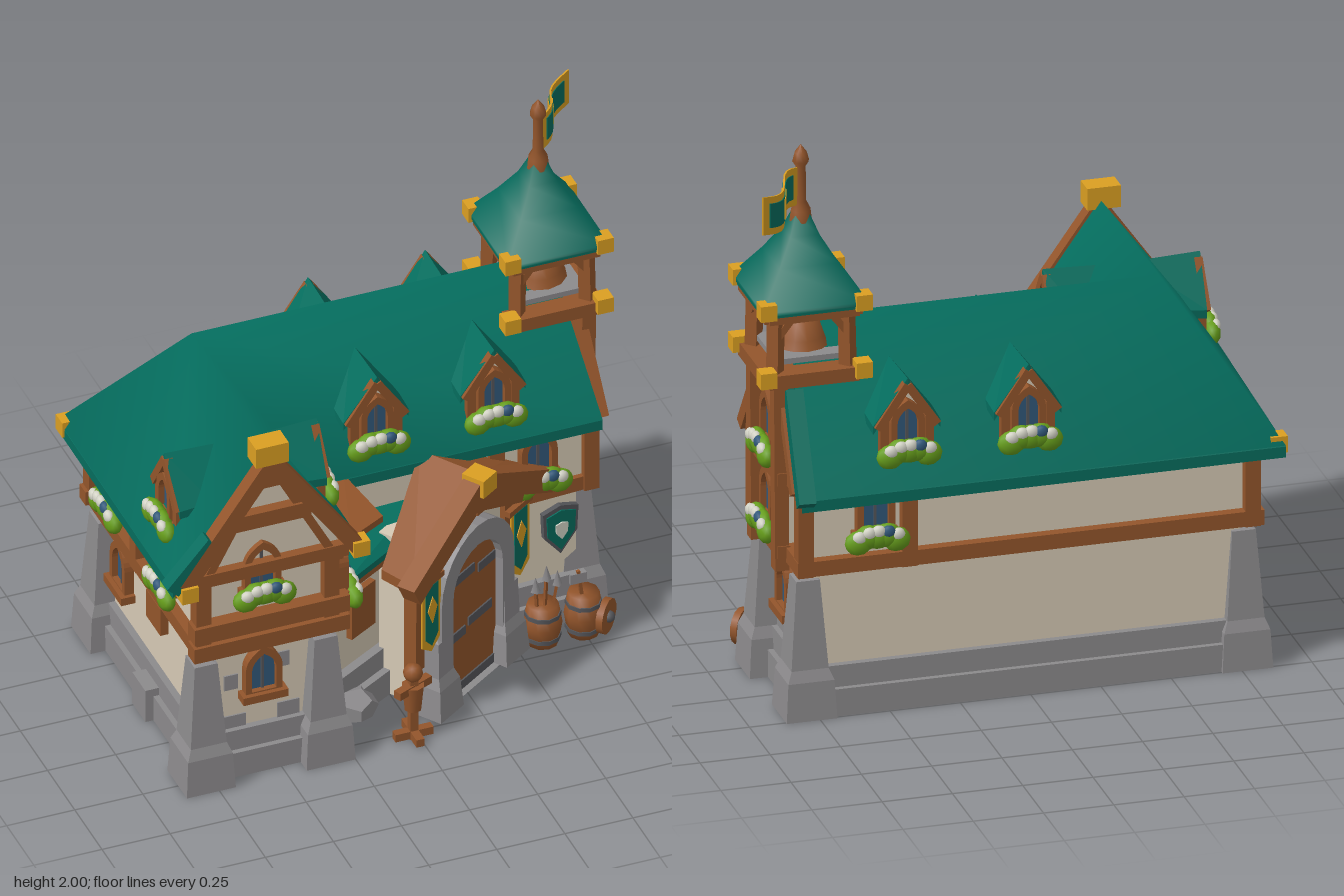
import * as THREE from 'three';

const paint = (name, color) => Object.assign(new THREE.MeshStandardMaterial({ color }), { name });
const teal = paint('teal shingles', 0x056d5e), wood = paint('wood', 0x93552b), plaster = paint('plaster', 0xd6cab5),
  stone = paint('stone', 0x8c8a8c), gold = paint('gold', 0xdb9f22), green = paint('leaves', 0x68a01c),
  glass = paint('glass', 0x31587a), iron = paint('dark iron', 0x55565a), white = paint('petals', 0xd3d3c6);

const V = (p) => new THREE.Vector3(...p);
const box = (w, h, d) => new THREE.BoxGeometry(w, h, d);
const faceted = (g) => { const f = g.index ? g.toNonIndexed() : g; f.computeVertexNormals(); return f; };

function part(parent, name, geo, mat, pos = [0, 0, 0], ry = 0) {
  const m = new THREE.Mesh(geo, mat);
  m.name = name;
  m.position.set(...pos);
  m.rotation.y = ry;
  parent.add(m);
  return m;
}
function subgroup(parent, name, pos, ry = 0) {
  const g = new THREE.Group();
  g.name = name;
  g.position.set(...pos);
  g.rotation.y = ry;
  parent.add(g);
  return g;
}
// straight timber between two points
function beam(parent, name, a, b, t = 0.05, mat = wood, w = t) {
  const m = new THREE.Mesh(box(w, t, V(a).distanceTo(V(b))), mat);
  m.name = name;
  m.position.copy(V(a).add(V(b)).multiplyScalar(0.5));
  m.lookAt(V(b));
  parent.add(m);
}
// roof panel: a polygon in space thickened downwards
function slab(parent, name, pts, t, mat) {
  let top = pts.map(V);
  const n = V(pts[1]).sub(top[0]).cross(V(pts[2]).sub(top[0]));
  if (n.y < 0) top = top.reverse();
  const low = top.map((p) => p.clone().setY(p.y - t)), out = [];
  const tri = (...q) => q.forEach((p) => out.push(p.x, p.y, p.z));
  top.forEach((p, i) => {
    const j = (i + 1) % top.length;
    if (i > 0 && j > 0) { tri(top[0], p, top[j]); tri(low[0], low[j], low[i]); }
    tri(p, low[i], low[j]); tri(p, low[j], top[j]);
  });
  const g = new THREE.BufferGeometry();
  g.setAttribute('position', new THREE.Float32BufferAttribute(out, 3));
  g.computeVertexNormals();
  return part(parent, name, g, mat);
}
const shapeOf = (pts) => new THREE.Shape(pts.map((p) => new THREE.Vector2(...p)));
const extrude = (s, depth) => new THREE.ExtrudeGeometry(s, { depth, bevelEnabled: false, curveSegments: 6 });
// storey: plan polygon of [x, z] raised from y0 to y1, grown outwards by k
function storey(parent, name, plan, y0, y1, mat, k = 0) {
  const s = shapeOf(plan.map(([x, z]) => [x + k * Math.sign(x + 0.5), -z - k * Math.sign(z)]));
  part(parent, name, extrude(s, y1 - y0).rotateX(-Math.PI / 2), mat, [0, y0, 0]);
}
const turned = (pts, n = 10) => new THREE.LatheGeometry(pts.map((p) => new THREE.Vector2(...p)), n);
const square = (pts) => turned(pts.map(([r, y]) => [r * Math.SQRT2, y]), 4).rotateY(Math.PI / 4);

function pointedArch(w, h, y = 0, S = THREE.Shape) {
  const s = new S();
  s.moveTo(-w / 2, y).lineTo(w / 2, y).lineTo(w / 2, y + h * 0.55);
  s.quadraticCurveTo(w / 2, y + h * 0.82, 0, y + h);
  s.quadraticCurveTo(-w / 2, y + h * 0.82, -w / 2, y + h * 0.55);
  return s;
}
function roundArch(w, h, S = THREE.Shape) {
  const s = new S();
  s.moveTo(-w / 2, 0).lineTo(w / 2, 0).lineTo(w / 2, h - w / 2);
  s.absarc(0, h - w / 2, w / 2, 0, Math.PI, false);
  return s;
}
function flowerBox(parent, pos) {
  const g = subgroup(parent, 'flowerBox', pos);
  const blob = (n, r, mat, x, y, z, sz) => part(g, n, new THREE.IcosahedronGeometry(r, 1), mat, [x, y, z]).scale.set(1.1, 1, sz);
  for (let i = -2; i <= 2; i++) {
    blob('leaves', 0.045, green, i * 0.034, -0.004 * i * i + (i % 2 ? 0.006 : 0), 0.015, 0.7);
    blob('petals', 0.024, i === 1 ? glass : white, i * 0.034, 0.024 - 0.004 * i * i, 0.03, 0.75);
  }
}
// arched window standing on its sill
function windowAt(parent, pos, ry, flowers = true, h = 0.2, w = 0.135) {
  const g = subgroup(parent, 'window', pos, ry);
  const f = pointedArch(w, h);
  f.holes.push(pointedArch(w - 0.045, h - 0.05, 0.02, THREE.Path));
  part(g, 'windowFrame', extrude(f, 0.035), wood);
  part(g, 'windowPane', extrude(pointedArch(w - 0.03, h - 0.03, 0.01), 0.008), glass, [0, 0, 0.006]);
  part(g, 'windowBar', box(0.01, h - 0.04, 0.008), iron, [0, h / 2, 0.016]);
  part(g, 'windowSill', box(w + 0.03, 0.03, 0.055), wood, [0, 0, 0.025]);
  if (flowers) flowerBox(g, [0, 0.0, 0.035]);
}
function dormer(parent, pos, ry) {
  const g = subgroup(parent, 'dormer', pos, ry);
  part(g, 'dormerBody', extrude(shapeOf([[-0.08, 0.03], [0.08, 0.03], [0.08, 0.2], [0, 0.32], [-0.08, 0.2]]), 0.2), plaster, [0, 0, -0.23]);
  for (const s of [-1, 1]) {
    slab(g, 'dormerRoof', [[0, 0.36, 0], [s * 0.12, 0.19, -0.01], [s * 0.12, 0.2, -0.13], [0, 0.35, -0.24]], 0.03, teal);
    beam(g, 'dormerBarge', [0, 0.335, -0.01], [s * 0.105, 0.18, -0.01], 0.03);
    beam(g, 'dormerPost', [s * 0.08, 0.05, -0.02], [s * 0.08, 0.21, -0.02], 0.03);
  }
  windowAt(g, [0, 0.1, -0.03], 0, true, 0.18, 0.12);
}
function shield(parent, pos, ry) {
  const g = subgroup(parent, 'shield', pos, ry);
  const form = (k) => shapeOf([[-0.07, 0.08], [0, 0.1], [0.07, 0.08], [0.065, -0.02], [0, -0.1], [-0.065, -0.02]].map(([x, y]) => [x * k, y * k]));
  part(g, 'shieldRim', extrude(form(1), 0.02), iron);
  part(g, 'shieldFace', extrude(form(0.82), 0.006), teal, [0, 0, 0.019]);
  part(g, 'shieldBoss', extrude(form(0.35), 0.006), white, [0, 0, 0.024]);
}
function barrel(parent, x, z, h) {
  const g = subgroup(parent, 'barrel', [x, 0, z]);
  part(g, 'staves', turned([[0, 0], [0.055, 0], [0.068, h / 2], [0.055, h], [0, h - 0.01]]), wood);
  for (const y of [0.03, h - 0.04]) part(g, 'hoop', new THREE.CylinderGeometry(0.064, 0.064, 0.016, 10), iron, [0, y, 0]);
  return g;
}

function buildWalls(root) {
  const plan = [[-0.76, -0.45], [-0.76, 0.48], [-0.32, 0.48], [-0.3, 0.37], [0.2, 0.08], [0.77, 0.05], [0.77, -0.45]];
  const upper = [...plan.slice(0, 3), [-0.29, 0.2], [-0.12, 0.1], ...plan.slice(4)];
  storey(root, 'stonePlinth', plan, 0, 0.1, stone, 0.045);
  storey(root, 'stoneBase', plan, 0.1, 0.18, stone, 0.025);
  storey(root, 'lowerWall', plan, 0.18, 0.58, plaster);
  storey(root, 'upperWall', upper, 0.58, 0.87, plaster, 0.02);
  for (const [x, z] of [[-0.78, 0.49], [-0.34, 0.49], [-0.77, -0.42], [0.78, -0.42], [0.79, -0.01]])
    part(root, 'buttress', faceted(square([[0, 0], [0.09, 0], [0.082, 0.14], [0.066, 0.18], [0.042, 0.5], [0, 0.51]])), stone, [x, 0, z]);
  // floor beams and corner posts
  for (const [y, t] of [[0.56, 0.055], [0.84, 0.05]]) {
    beam(root, 'backBeam', [-0.83, y, -0.48], [0.83, y, -0.48], t);
    beam(root, 'leftBeam', [-0.79, y, -0.5], [-0.79, y, 0.54], t);
    beam(root, 'rightBeam', [0.8, y, -0.5], [0.8, y, 0.08], t);
    beam(root, 'frontBeam', [0.4, y, 0.085], [0.82, y, 0.06], t);
    beam(root, 'wingSideBeam', [-0.3, y, 0.2], [-0.3, y, 0.53], t);
  }
  beam(root, 'cornerBeam', [-0.28, 0.57, 0.39], [0.2, 0.57, 0.1], 0.055);
  for (const [x, z] of [[-0.79, -0.48], [-0.79, 0.51], [-0.32, 0.51], [0.8, -0.48], [0.81, 0.07], [0.43, -0.48], [-0.79, -0.05], [0.46, 0.08]])
    beam(root, 'post', [x, 0.53, z], [x, 0.87, z], 0.055);
  for (const [y, t] of [[0.56, 0.06], [0.64, 0.065], [0.86, 0.05]])
    beam(root, 'wingFrontBeam', [-0.83, y, 0.52], [-0.26, y, 0.52], t);
  // worn patches of bare stone
  for (const [x, y, w] of [[-0.66, 0.2, 0.09], [-0.46, 0.21, 0.08], [-0.48, 0.42, 0.05], [-0.67, 0.37, 0.05]])
    part(root, 'stonePatch', box(w, 0.06, 0.008), stone, [x, y, 0.482]);
  for (const z of [-0.3, -0.12]) part(root, 'stonePatch', box(0.008, 0.07, 0.09), stone, [0.772, 0.2, z]);
  part(root, 'leftHatch', box(0.03, 0.11, 0.13), wood, [-0.775, 0.42, 0.07]);
  part(root, 'leftStep', box(0.07, 0.13, 0.12), stone, [-0.8, 0.065, 0.05]);
  part(root, 'noticeBoard', box(0.13, 0.18, 0.03), wood, [-0.11, 0.39, 0.27], 0.53);
  part(root, 'rubble', new THREE.DodecahedronGeometry(0.09), stone, [-0.17, 0.06, 0.35]).scale.y = 0.65;
}

function buildRoof(root) {
  const R = [-0.55, 1.36, -0.18], E = [0.76, 1.36, -0.18], F = [-0.55, 1.35, 0.55], I = [-0.21, 0.87, 0.17], IF = [-0.21, 0.87, 0.55];
  const BL = [-0.89, 0.84, -0.56], BR = [0.83, 0.84, -0.56], FR = [0.82, 0.87, 0.17], LF = [-0.91, 0.87, 0.55];
  for (const pts of [[R, E, BR, BL], [R, BL, LF, F], [R, I, FR, E], [F, IF, I, R]])
    slab(root, 'roofBoards', pts, 0.04, teal).position.y = -0.004;
  // softly shaded shingle skin shared by all slopes
  const skin = new THREE.BufferGeometry();
  skin.setAttribute('position', new THREE.Float32BufferAttribute([R, E, F, I, IF, BL, BR, FR, LF].flat(), 3));
  skin.setIndex([0, 1, 6, 0, 6, 5, 0, 5, 8, 0, 8, 2, 0, 3, 7, 0, 7, 1, 2, 4, 3, 2, 3, 0]);
  skin.computeVertexNormals();
  part(root, 'roofShingles', skin, teal);
  slab(root, 'rightGable', [E, [0.8, 0.85, 0.15], [0.8, 0.83, -0.54]], 0.03, teal);
  // low skirt roof and boards in the corner beside the porch
  slab(root, 'cornerRoof', [[-0.25, 0.68, 0.14], [0.2, 0.68, 0.08], [0.2, 0.63, 0.17], [-0.24, 0.62, 0.43]], 0.025, teal);
  slab(root, 'cornerBoards', [[-0.23, 0.87, 0.14], [-0.12, 0.87, 0.14], [-0.07, 0.84, 0.38], [-0.22, 0.84, 0.46]], 0.025, wood);
  // left wing gable
  part(root, 'gableWall', extrude(shapeOf([[-0.83, 0.86], [-0.27, 0.86], [-0.55, 1.27]]), 0.06), plaster, [0, 0, 0.45]);
  for (const s of [-1, 1]) {
    beam(root, 'bargeBoard', [-0.55, 1.32, 0.55], [-0.55 + s * 0.32, 0.87, 0.55], 0.055);
    beam(root, 'gableBrace', [-0.55 + s * 0.22, 0.88, 0.515], [-0.55 + s * 0.05, 1.2, 0.515], 0.03, wood, 0.05);
  }
  beam(root, 'gableTie', [-0.7, 1.07, 0.52], [-0.4, 1.07, 0.52], 0.06);
  beam(root, 'gablePeak', [-0.6, 1.23, 0.52], [-0.5, 1.23, 0.52], 0.06);
  beam(root, 'gableEdge', [-0.77, 1.04, 0.55], [-0.92, 0.87, 0.55], 0.055, teal);
  part(root, 'ridgeCap', box(0.12, 0.08, 0.08), gold, [-0.56, 1.36, 0.55]);
  for (const p of [[-0.86, 0.85, 0.56], [-0.23, 0.88, 0.56], [-0.87, 0.84, -0.52]])
    part(root, 'cornerCap', box(0.06, 0.06, 0.06), gold, p);
  // right gable trim
  beam(root, 'rightBarge', [0.83, 0.85, 0.13], [0.82, 1.15, -0.06], 0.045);
  beam(root, 'rightBarge', [0.83, 0.84, -0.5], [0.82, 1.12, -0.32], 0.045);
  beam(root, 'rightEdge', [0.82, 0.83, -0.58], [0.8, 1.16, -0.35], 0.06, teal);
  for (const x of [0.01, 0.44]) {
    dormer(root, [x, 0.87, 0.125], 0);
    dormer(root, [x, 0.87, -0.51], Math.PI);
  }
  dormer(root, [-0.27, 0.87, 0.27], Math.PI / 2);
  dormer(root, [-0.83, 0.87, 0.27], -Math.PI / 2);
}

function buildTower(root) {
  const t = subgroup(root, 'bellTower', [0.725, 0, -0.185]);
  part(t, 'spire', square([[0.188, 1.455], [0.188, 1.47], [0.105, 1.59], [0.052, 1.68], [0.025, 1.75]]), teal);
  part(t, 'spireSoffit', box(0.37, 0.02, 0.37), teal, [0, 1.455, 0]);
  part(t, 'flagPole', turned([[0.04, 1.72], [0.035, 1.76], [0.02, 1.79], [0.018, 1.92], [0.03, 1.94], [0.022, 1.97], [0, 2]], 8), wood);
  part(t, 'platform', box(0.27, 0.05, 0.27), wood, [0, 1.2, 0]);
  part(t, 'bellShelf', box(0.25, 0.02, 0.25), stone, [0, 1.255, 0]);
  part(t, 'bell', turned([[0.1, 1.27], [0.085, 1.3], [0.06, 1.36], [0, 1.39]], 12), wood);
  part(t, 'bellHanger', new THREE.IcosahedronGeometry(0.033, 1), iron, [0, 1.385, 0]);
  part(t, 'towerFoot', box(0.1, 0.08, 0.1), wood, [0, 1.15, 0]);
  for (let i = 0; i < 4; i++) {
    const side = subgroup(t, 'towerSide', [0, 0, 0], i * Math.PI / 2);
    beam(side, 'towerPost', [0.13, 1.18, 0.13], [0.125, 1.46, 0.125], 0.045);
    for (const y of [1.2, 1.44]) beam(side, 'towerRail', [-0.16, y, 0.15], [0.16, y, 0.15], 0.05);
    for (const y of [1.22, 1.47]) part(side, 'towerCap', box(0.058, 0.058, 0.058), gold, [0.17, y, 0.17]);
    for (const s of [-1, 1]) beam(side, 'towerBrace', [s * 0.13, 1.34, 0.13], [s * 0.06, 1.43, 0.13], 0.025);
  }
  // waving flag
  const flag = subgroup(t, 'flag', [0, 1.845, 0], 0.876);
  for (const [n, w, h, d, mat, x] of [['flagBorder', 0.29, 0.14, 0.006, gold, 0.16], ['flagField', 0.24, 0.09, 0.012, teal, 0.16], ['flagMark', 0.06, 0.075, 0.018, gold, 0.16]]) {
    const g = new THREE.BoxGeometry(w, h, d, 10, 1, 1).translate(x, 0, 0), p = g.attributes.position;
    for (let i = 0; i < p.count; i++) {
      const k = Math.sin(p.getX(i) * 22);
      p.setZ(i, p.getZ(i) + 0.02 * k);
      p.setY(i, p.getY(i) + 0.01 * k);
    }
    g.computeVertexNormals();
    part(flag, n, g, mat);
  }
  // bay below the tower
  part(root, 'bayWall', box(0.05, 0.34, 0.28), plaster, [0.8, 0.72, -0.185]);
  for (const z of [-0.04, -0.33]) beam(root, 'bayPost', [0.84, 0.5, z], [0.845, 1.2, z], 0.05);
  for (const y of [0.57, 0.84]) beam(root, 'bayBeam', [0.835, y, -0.36], [0.835, y, -0.01], 0.045);
}

function buildPorch(root) {
  const p = subgroup(root, 'porch', [0.27, 0, 0.27], 0.594);
  part(p, 'porchWall', box(0.44, 0.66, 0.2), plaster, [0, 0.33, -0.1]);
  const a = roundArch(0.44, 0.66);
  a.holes.push(roundArch(0.3, 0.58, THREE.Path));
  part(p, 'doorArch', extrude(a, 0.06), stone);
  part(p, 'door', extrude(roundArch(0.31, 0.585), 0.03), wood);
  for (const [x, y, w] of [[-0.06, 0.47, 0.15], [0.09, 0.45, 0.1], [-0.09, 0.24, 0.1], [0.05, 0.26, 0.14], [0, 0.02, 0.3]])
    part(p, 'doorStrap', box(w, 0.035, 0.008), iron, [x, y, 0.032]);
  for (const s of [-1, 1]) {
    part(p, 'archFoot', faceted(square([[0, 0], [0.07, 0], [0.06, 0.12], [0.045, 0.16], [0.04, 0.3], [0, 0.32]])), stone, [s * 0.2, 0, 0.02]);
    slab(p, 'porchRoof', [[0, 0.88, 0.07], [s * 0.41, 0.65, 0.07], [s * 0.41, 0.67, -0.06], [0, 0.88, -0.18]], 0.04, wood);
    beam(p, 'porchRafter', [0, 0.84, 0.06], [s * 0.42, 0.615, 0.06], 0.085, wood, 0.07);
    beam(p, 'porchBrace', [s * 0.27, 0.63, 0.04], [s * 0.02, 0.74, 0.04], 0.05);
    beam(p, 'porchPost', [s * 0.27, 0.19, -0.02], [s * 0.27, 0.7, -0.02], 0.05);
    // hanging banner
    const b = subgroup(p, 'banner', [s * 0.27, 0.58, 0.045]);
    const cloth = (w, h) => shapeOf([[-w, 0], [-w, -h], [0, -h - 0.04], [w, -h], [w, 0]]);
    part(b, 'bannerBorder', extrude(cloth(0.056, 0.25), 0.006), gold);
    part(b, 'bannerField', extrude(cloth(0.038, 0.21), 0.006), teal, [0, -0.015, 0.003]);
    part(b, 'bannerMark', extrude(shapeOf([[0, -0.06], [-0.028, -0.11], [0, -0.17], [0.028, -0.11]]), 0.004), gold, [0, 0, 0.008]);
    beam(b, 'bannerRod', [-0.07, 0, 0], [0.07, 0, 0], 0.022);
  }
  beam(p, 'kingPost', [0, 0.72, 0.05], [0, 0.84, 0.05], 0.05);
  part(p, 'porchCap', box(0.08, 0.07, 0.09), gold, [0, 0.85, 0.065]);
}

function buildProps(root) {
  // practice dummy
  const d = subgroup(root, 'trainingDummy', [-0.02, 0, 0.53]);
  beam(d, 'dummyPost', [0, 0, 0], [0, 0.25, 0], 0.03);
  beam(d, 'dummyArms', [-0.07, 0.21, 0.03], [0.07, 0.21, -0.03], 0.03);
  part(d, 'dummyBody', new THREE.CylinderGeometry(0.04, 0.03, 0.1, 8), wood, [0, 0.17, 0]);
  part(d, 'dummyHead', new THREE.IcosahedronGeometry(0.035, 1), wood, [0, 0.27, 0]);
  beam(d, 'dummyFoot', [-0.07, 0.02, 0], [0.07, 0.02, 0], 0.03);
  beam(d, 'dummyFoot', [0, 0.02, -0.07], [0, 0.02, 0.07], 0.03);
  // weapon barrels
  const a = barrel(root, 0.6, 0.17, 0.16), b = barrel(root, 0.75, 0.17, 0.17);
  for (const [x, h] of [[-0.03, 0.27], [0.01, 0.31], [0.05, 0.28]]) {
    beam(a, 'spear', [x * 0.6, 0.1, 0], [x, h - 0.04, 0.01], 0.01);
    part(a, 'spearHead', new THREE.ConeGeometry(0.018, 0.06, 4), stone, [x, h - 0.02, 0.01]);
  }
  beam(b, 'axeHandle', [0, 0.1, 0], [-0.02, 0.26, 0], 0.012);
  part(b, 'axeHead', box(0.06, 0.04, 0.012), stone, [-0.02, 0.23, 0]);
  const wheel = part(root, 'roundShield', new THREE.CylinderGeometry(0.065, 0.065, 0.025, 14).rotateX(Math.PI / 2), wood, [0.82, 0.068, 0.2], 0.8);
  part(wheel, 'roundShieldBoss', new THREE.SphereGeometry(0.022, 8, 6), iron, [0, 0, 0.012]);
  shield(root, [0.7, 0.38, 0.06], 0.15);
  shield(root, [-0.305, 0.38, 0.42], Math.PI / 2);
}

export function createModel() {
  const root = new THREE.Group();
  root.name = 'tavernHouse';
  for (const build of [buildWalls, buildRoof, buildTower, buildPorch, buildProps]) build(root);
  const q = Math.PI / 2;
  for (const [x, y, z, ry, f] of [[-0.56, 0.31, 0.48, 0, false], [-0.57, 0.76, 0.495, 0, true], [0.61, 0.64, 0.08, 0.05, true],
    [0.82, 0.91, -0.19, q, true], [0.82, 0.63, -0.19, q, true], [0.77, 0.29, -0.21, q, false], [-0.28, 0.65, 0.44, q, true],
    [-0.78, 0.65, -0.27, -q, true], [-0.78, 0.65, 0.22, -q, true], [-0.76, 0.31, -0.25, -q, false], [0.55, 0.66, -0.47, 2 * q, true]])
    windowAt(root, [x, y, z], ry, f);
  return root;
}
